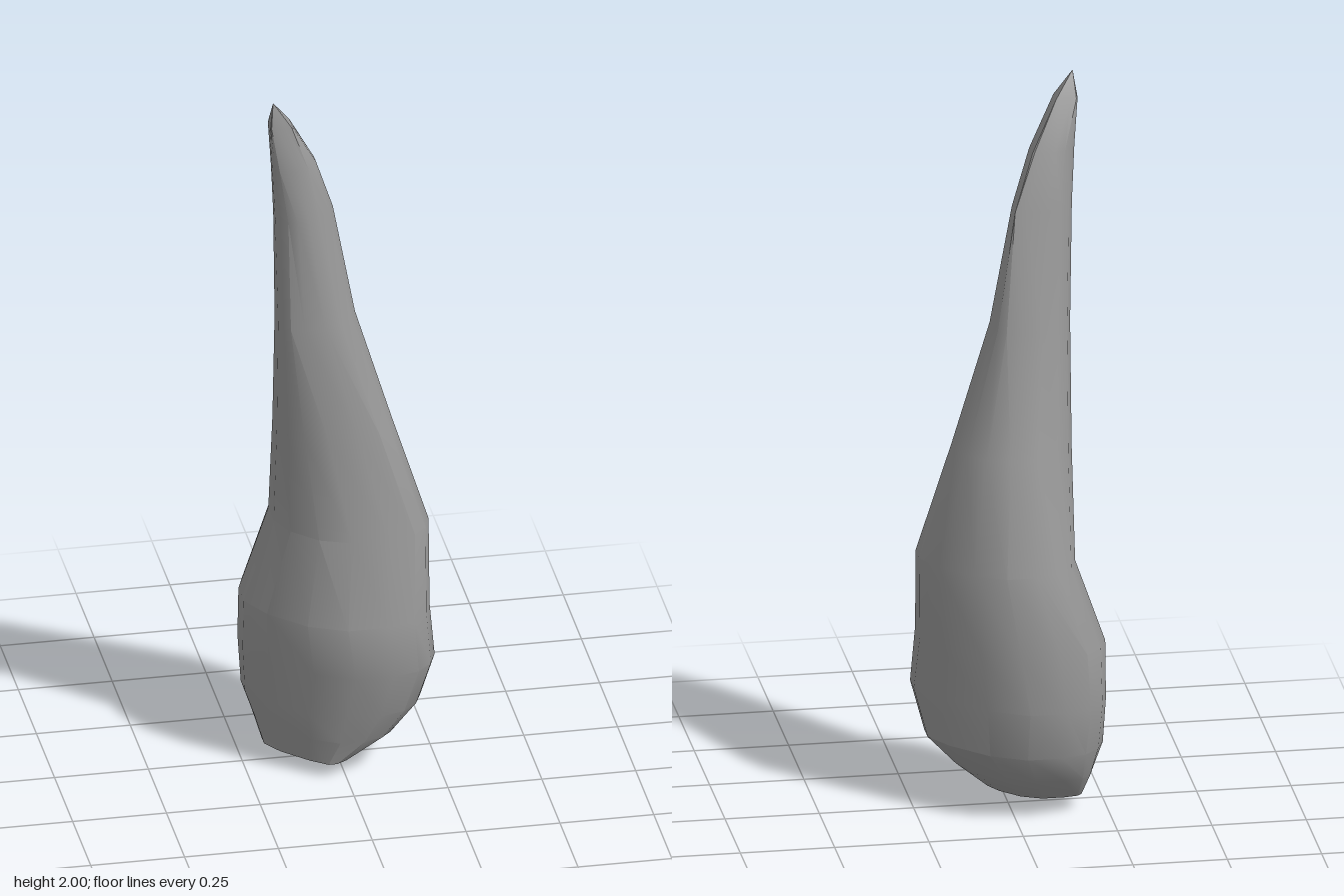
import * as THREE from 'three';
import { toCreasedNormals } from 'three/addons/utils/BufferGeometryUtils.js';

// Cross-sections from top to bottom: height, then the reach of the section in
// eight compass directions, turning from +x through +z, -x and -z.
const SECTIONS = [
  [1.93, -0.14, -0.01, 0.13, 0.23, 0.20, 0.08, -0.08, -0.155],
  [1.80, -0.07, 0.02, 0.135, 0.215, 0.19, 0.08, -0.035, -0.08],
  [1.65, -0.02, 0.04, 0.14, 0.20, 0.18, 0.09, -0.005, -0.015],
  [1.33, 0.04, 0.08, 0.14, 0.196, 0.17, 0.115, 0.05, 0.035],
  [1.00, 0.14, 0.155, 0.145, 0.165, 0.165, 0.155, 0.12, 0.12],
  [0.70, 0.235, 0.23, 0.16, 0.14, 0.165, 0.20, 0.195, 0.19],
  [0.47, 0.23, 0.26, 0.215, 0.196, 0.245, 0.255, 0.20, 0.175],
  [0.32, 0.243, 0.265, 0.21, 0.175, 0.243, 0.27, 0.21, 0.165],
  [0.19, 0.21, 0.22, 0.18, 0.165, 0.237, 0.25, 0.195, 0.155],
  [0.11, 0.135, 0.17, 0.16, 0.15, 0.21, 0.225, 0.155, 0.10],
  [0.04, 0.05, 0.09, 0.14, 0.14, 0.19, 0.18, 0.09, 0.03],
];
const TIP = [-0.19, 2, 0.115];
const BASE = [-0.06, 0, 0.03];
const STEP = Math.PI / 4;

// Octagon bounded by the eight reaches, with each corner cut to two points
function sectionRing([y, ...reach]) {
  const h = reach.map((r, k) =>
    Math.min(r, (reach[(k + 7) % 8] + reach[(k + 1) % 8]) / Math.SQRT2));
  // distance along the edge of side k to its corner with the next side
  const corner = (k, next) => h[next] * Math.SQRT2 - h[k];
  const ring = [];
  for (let k = 0; k < 8; k++) {
    const c = Math.cos(k * STEP), s = Math.sin(k * STEP);
    const from = -corner(k, (k + 7) % 8), to = corner(k, (k + 1) % 8);
    for (const f of [0.25, 0.75]) {
      const t = from + (to - from) * f;
      ring.push([h[k] * c - t * s, y, h[k] * s + t * c]);
    }
  }
  return ring;
}

// Skin the rings and close both ends with fans
function loft(rings, top, bottom) {
  const n = rings[0].length;
  const position = [top, ...rings.flat(), bottom].flat();
  const last = rings.length * n + 1;
  const index = [];
  for (let i = 0; i < n; i++) {
    const j = (i + 1) % n;
    index.push(0, 1 + j, 1 + i);
    for (let r = 0; r < rings.length - 1; r++) {
      const a = 1 + r * n, b = a + n;
      index.push(a + i, a + j, b + i, a + j, b + j, b + i);
    }
    index.push(last - n + i, last - n + j, last);
  }
  const geometry = new THREE.BufferGeometry();
  geometry.setAttribute('position', new THREE.Float32BufferAttribute(position, 3));
  geometry.setIndex(index);
  return geometry;
}

export function createModel() {
  const group = new THREE.Group();
  group.name = 'taperedHorn';

  // Bulbous base sweeping up to a bent tip
  const geometry = loft(SECTIONS.map(sectionRing), TIP, BASE);
  const material = new THREE.MeshStandardMaterial({ color: 0x999999 });
  const horn = new THREE.Mesh(toCreasedNormals(geometry, 0.5), material);
  horn.name = 'horn';
  group.add(horn);
  return group;
}
